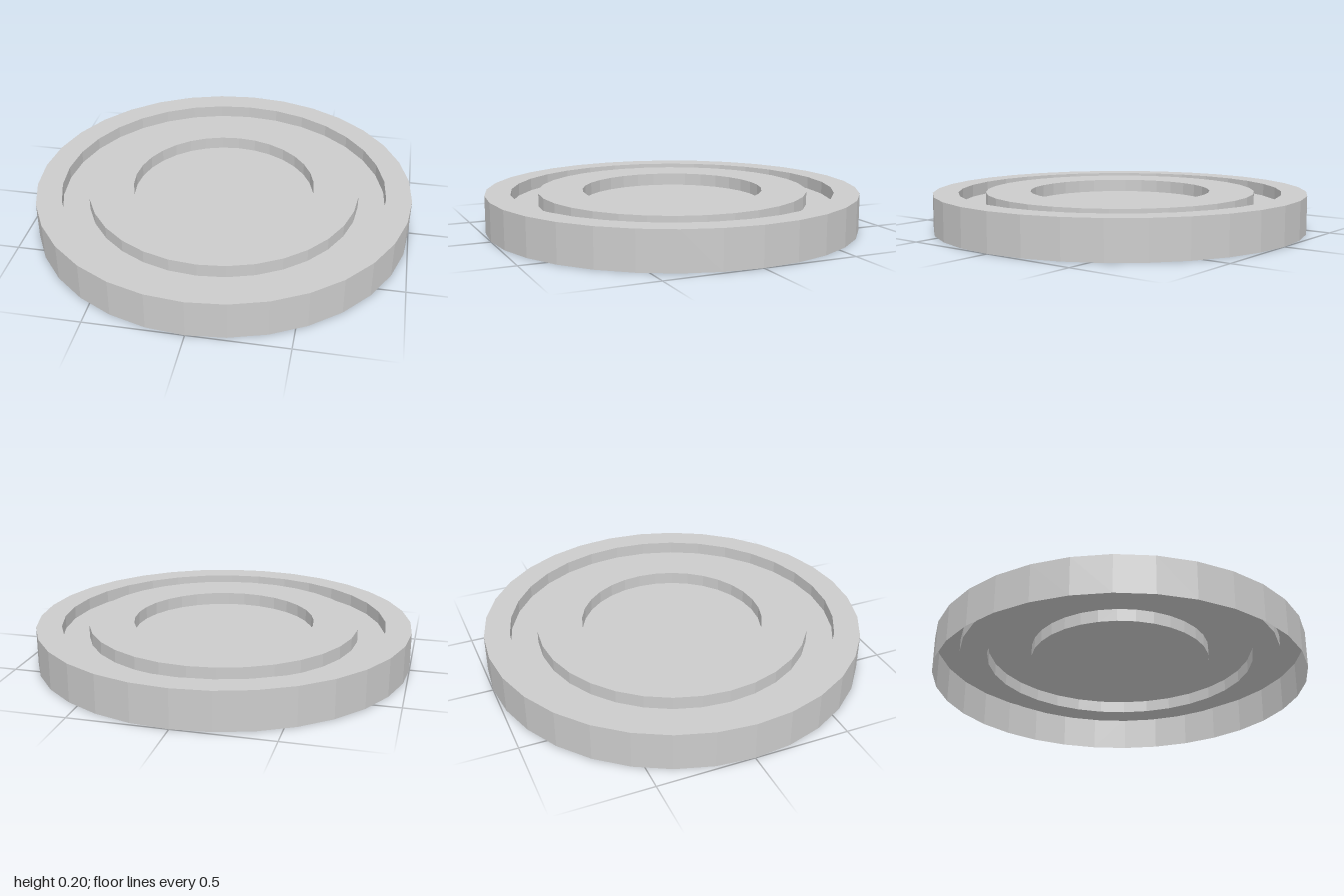
import * as THREE from 'three';

const SIDES = 32;
const TOP = 0.2;     // height of the rim and raised ring
const FLOOR = 0.133; // height of the groove and centre disc

const material = new THREE.MeshStandardMaterial({
  color: 0xcccccc,
  flatShading: true,
  side: THREE.DoubleSide,
});

// Faceted surface turned around the y axis; the profile runs from the outside inwards
function turned(name, profile) {
  const points = profile.map(([r, y]) => new THREE.Vector2(r, y));
  const geometry = new THREE.LatheGeometry(points, SIDES).toNonIndexed();
  geometry.computeVertexNormals();
  const mesh = new THREE.Mesh(geometry, material);
  mesh.name = name;
  return mesh;
}

export function createModel() {
  const group = new THREE.Group();
  group.name = 'steppedDisc';

  // Thin pressed shell, open underneath
  group.add(
    turned('outerWall', [[1, 0], [1, TOP]]),
    turned('rim', [[1, TOP], [0.866, TOP]]),
    turned('groove', [[0.866, TOP], [0.866, FLOOR], [0.722, FLOOR], [0.722, TOP]]),
    turned('raisedRing', [[0.722, TOP], [0.484, TOP]]),
    turned('centreWall', [[0.484, TOP], [0.484, FLOOR]]),
  );

  // Sunken centre disc
  const disc = new THREE.Mesh(
    new THREE.CircleGeometry(0.484, SIDES).rotateX(-Math.PI / 2),
    material,
  );
  disc.position.y = FLOOR;
  disc.name = 'centreDisc';
  group.add(disc);

  return group;
}
